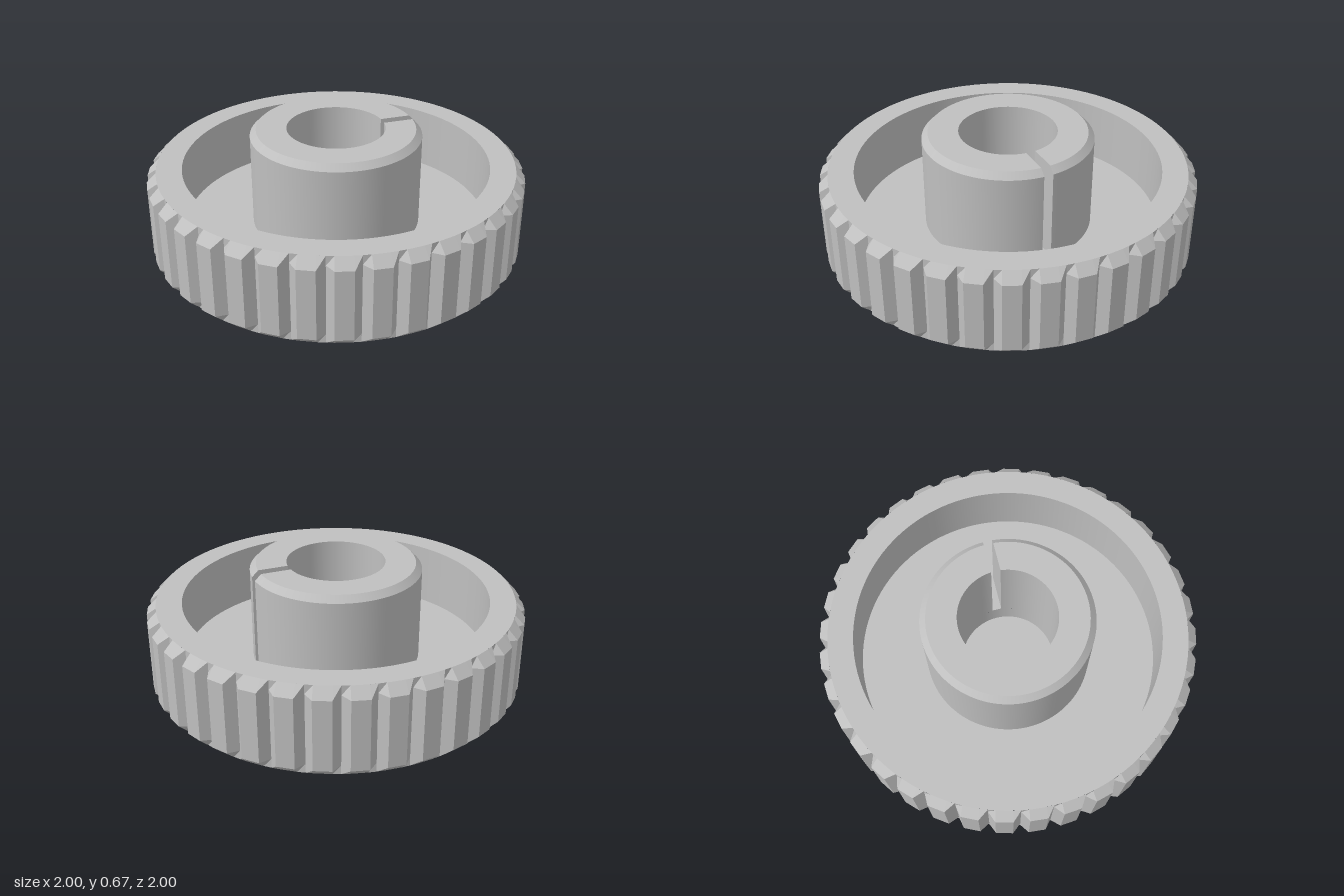
import * as THREE from 'three';
import { mergeGeometries } from 'three/addons/utils/BufferGeometryUtils.js';

const TEETH = 36, ROOT = 0.95, TIP = 1, TOP = 0.48, FLOOR = 0.14, BORE = 0.26, CHAMFER = 0.05;
const SLOT = 0.025; // half width of the hub slot

// Turned surface with a crisp edge at every profile point; gap leaves a parallel slot open at +x.
function turned(profile, gap = 0, segments = 108) {
  const strips = [];
  for (let i = 0; i + 1 < profile.length; i++) {
    const pair = [profile[i], profile[i + 1]].map(([r, y]) => new THREE.Vector2(r, y));
    const geo = new THREE.LatheGeometry(pair, segments);
    const dir = pair[1].clone().sub(pair[0]).normalize();
    const { position, normal, uv } = geo.attributes;
    for (let k = 0; k < position.count; k++) {
      const p = pair[k % 2];
      const a = p.x > gap ? Math.asin(gap / p.x) : 0;
      const phi = Math.PI / 2 + a + uv.getX(k) * (2 * Math.PI - 2 * a);
      position.setXYZ(k, p.x * Math.sin(phi), p.y, p.x * Math.cos(phi));
      normal.setXYZ(k, dir.y * Math.sin(phi), -dir.x, dir.y * Math.cos(phi));
    }
    strips.push(geo);
  }
  return mergeGeometries(strips);
}

// Toothed outer band: four stacked cross-sections, chamfered into the root circle at both ends.
function toothedBand() {
  const levels = [[0, ROOT], [CHAMFER, TIP], [TOP - CHAMFER, TIP], [TOP, ROOT]];
  const steps = [[0, false], [2.4, true], [7.6, true]]; // degrees within a tooth, on the tip or not
  const positions = [], index = [], n = TEETH * steps.length;
  for (const [y, tip] of levels) {
    for (let t = 0; t < TEETH; t++) {
      for (const [deg, onTip] of steps) {
        const a = THREE.MathUtils.degToRad(t * 360 / TEETH + deg);
        const r = onTip ? tip : ROOT;
        positions.push(r * Math.sin(a), y, r * Math.cos(a));
      }
    }
  }
  for (let l = 0; l < levels.length - 1; l++) {
    for (let i = 0; i < n; i++) {
      const j = (i + 1) % n, a = l * n + i, b = l * n + j;
      index.push(a, b, b + n, a, b + n, a + n);
    }
  }
  const geo = new THREE.BufferGeometry();
  geo.setAttribute('position', new THREE.Float32BufferAttribute(positions, 3));
  geo.setIndex(index);
  const flat = geo.toNonIndexed();
  flat.computeVertexNormals();
  return flat;
}

export function createModel() {
  const group = new THREE.Group();
  const grey = new THREE.MeshStandardMaterial({ color: 0xbfbfbf });
  grey.name = 'plain grey';
  const add = (name, geo) => {
    const mesh = new THREE.Mesh(geo, grey);
    mesh.name = name;
    group.add(mesh);
    return mesh;
  };

  add('toothedBand', toothedBand());

  // Rim top, recess wall and recess floor
  add('dish', turned([[ROOT, TOP], [0.815, TOP], [0.815, FLOOR], [0.45, FLOOR]]));

  // Underside
  add('base', turned([[0, 0], [ROOT, 0]]));

  // Raised hub with a chamfered top edge, split by the slot
  const hub = [[0.453, FLOOR], [0.453, 0.637], [0.42, 0.67], [BORE, 0.67], [BORE, FLOOR]];
  add('hub', turned(hub, SLOT));

  // Lower part of the bore and its floor
  add('bore', turned([[BORE, FLOOR], [BORE, 0.01], [0, 0.01]]));

  // Slot cheeks, facing each other, and slot floor
  const cheek = new THREE.Shape(hub.map(([r, y]) => new THREE.Vector2(Math.sqrt(r * r - SLOT * SLOT), y)));
  for (const side of [-1, 1]) {
    const geo = new THREE.ShapeGeometry(cheek);
    if (side > 0) geo.scale(-1, 1, 1).rotateY(Math.PI).index.array.reverse();
    if (side > 0) geo.computeVertexNormals();
    const mesh = add('slotCheek', geo);
    mesh.position.z = side * SLOT;
    if (side > 0) {
      // Turn the far cheek's faces toward the slot
      const p = geo.attributes.position, i = geo.index;
      const v = [0, 1, 2].map(k => new THREE.Vector3().fromBufferAttribute(p, i.getX(k)));
      if (v[1].sub(v[0]).cross(v[2].sub(v[0])).z > 0) i.array.reverse();
      geo.computeVertexNormals();
    }
  }
  const slotFloor = add('slotFloor', new THREE.PlaneGeometry(0.195, 2 * SLOT).rotateX(-Math.PI / 2));
  slotFloor.position.set(0.3565, FLOOR, 0);

  return group;
}
